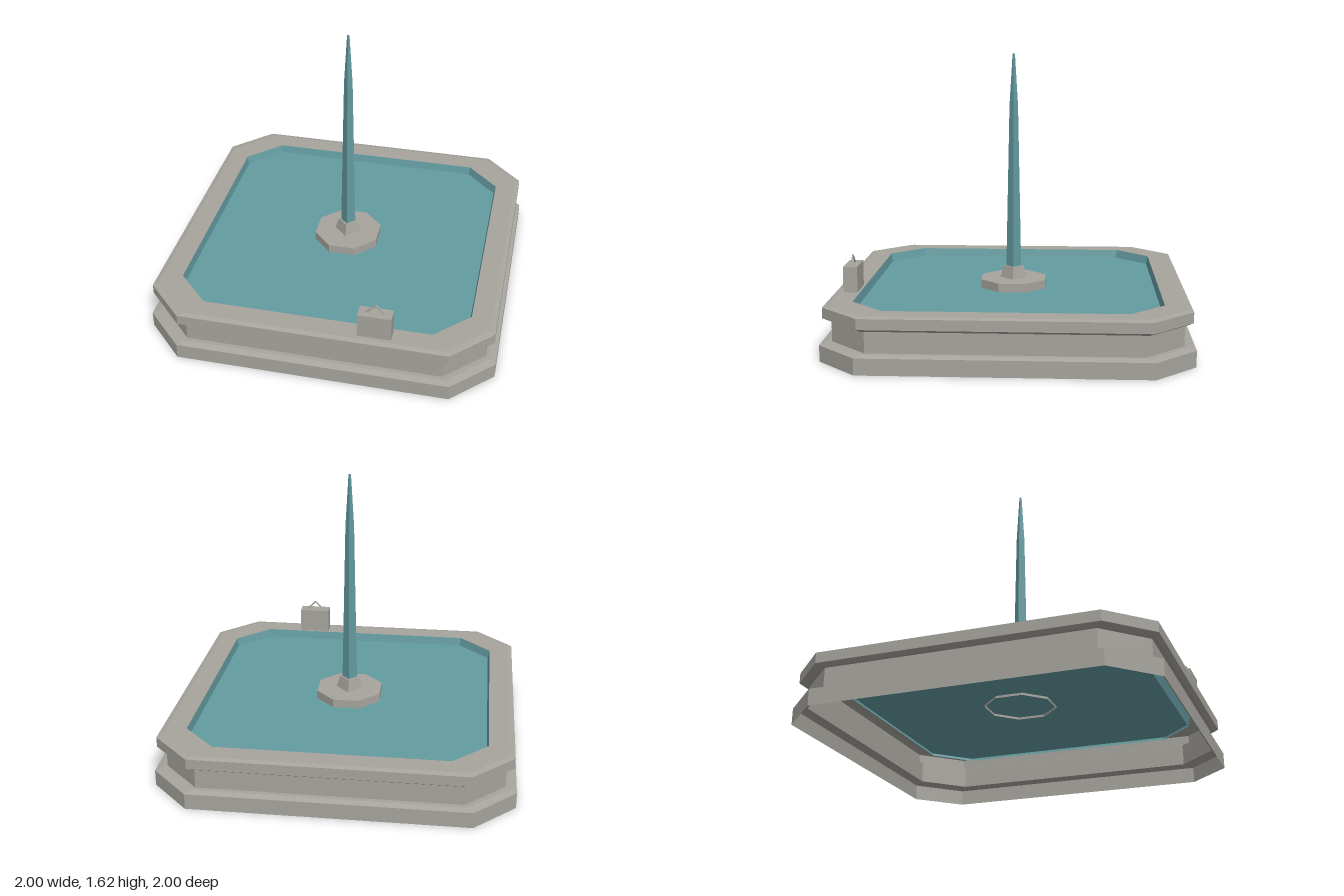
import * as THREE from 'three';

// Sweeps an eight-sided outline along a profile of [half width, height] points.
// ratio = where the corner cut starts, as a share of the half width.
function octagonShell(profile, ratio) {
  const outline = [[1, ratio], [ratio, 1], [-ratio, 1], [-1, ratio],
    [-1, -ratio], [-ratio, -1], [ratio, -1], [1, -ratio]];
  const at = (i, j) => {
    const [half, y] = profile[i];
    const [x, z] = outline[j % 8];
    return [x * half, y, z * half];
  };
  const positions = [];
  for (let i = 0; i < profile.length - 1; i++) {
    for (let j = 0; j < 8; j++) {
      const a = at(i, j), b = at(i + 1, j), c = at(i + 1, j + 1), d = at(i, j + 1);
      positions.push(...a, ...b, ...d);
      if (profile[i + 1][0] > 0) positions.push(...b, ...c, ...d);
    }
  }
  const geometry = new THREE.BufferGeometry();
  geometry.setAttribute('position', new THREE.Float32BufferAttribute(positions, 3));
  geometry.computeVertexNormals();
  return geometry;
}

// Four-sided tapering shaft with its edges on the axes.
function diamondShaft(profile) {
  return new THREE.LatheGeometry(profile.map(([r, y]) => new THREE.Vector2(r, y)), 4);
}

export function createModel() {
  const model = new THREE.Group();
  model.name = 'fountain';

  const stone = new THREE.MeshStandardMaterial({ color: 0xa6a49d, flatShading: true, side: THREE.DoubleSide });
  stone.name = 'stone';
  const teal = new THREE.MeshStandardMaterial({ color: 0x639ba1, flatShading: true, side: THREE.DoubleSide });
  teal.name = 'teal';

  const add = (name, geometry, material, parent = model) => {
    const mesh = new THREE.Mesh(geometry, material);
    mesh.name = name;
    parent.add(mesh);
    return mesh;
  };

  // Basin: hollow stone shell, open underneath
  const CUT = 0.773;
  add('basinShell', octagonShell([
    [1, 0], [1, 0.09], [0.965, 0.1], [0.94, 0.1], [0.94, 0.22], [0.96, 0.22],
    [0.983, 0.235], [0.983, 0.293], [0.955, 0.3], [0.84, 0.3],
  ], CUT), stone);
  add('poolWall', octagonShell([[0.84, 0.3], [0.828, 0.235]], CUT), teal);
  add('water', octagonShell([[0.831, 0.25], [0, 0.25]], CUT), teal);

  // Island and spire
  add('island', octagonShell([[0.188, 0.237], [0.188, 0.3], [0, 0.3]], Math.SQRT2 - 1), stone);
  add('spirePlinth', diamondShaft([[0.08, 0.3], [0.058, 0.37], [0, 0.37]]), stone);
  add('spire', diamondShaft([[0.044, 0.37], [0.025, 1.32], [0.007, 1.62], [0, 1.62]]), teal);

  // Case standing on the rim, with a peaked handle
  const box = new THREE.Group();
  box.name = 'case';
  box.position.set(0.345, 0.3, 0.894);
  model.add(box);
  add('caseBody', new THREE.BoxGeometry(0.188, 0.145, 0.08).translate(0, 0.0725, 0), stone, box);
  for (const side of [-1, 1]) {
    const bar = add('handleBar', new THREE.CylinderGeometry(0.005, 0.005, 0.075, 6), stone, box);
    bar.position.set(side * 0.026, 0.17, 0);
    bar.rotation.z = side * Math.PI / 4;
  }

  return model;
}
